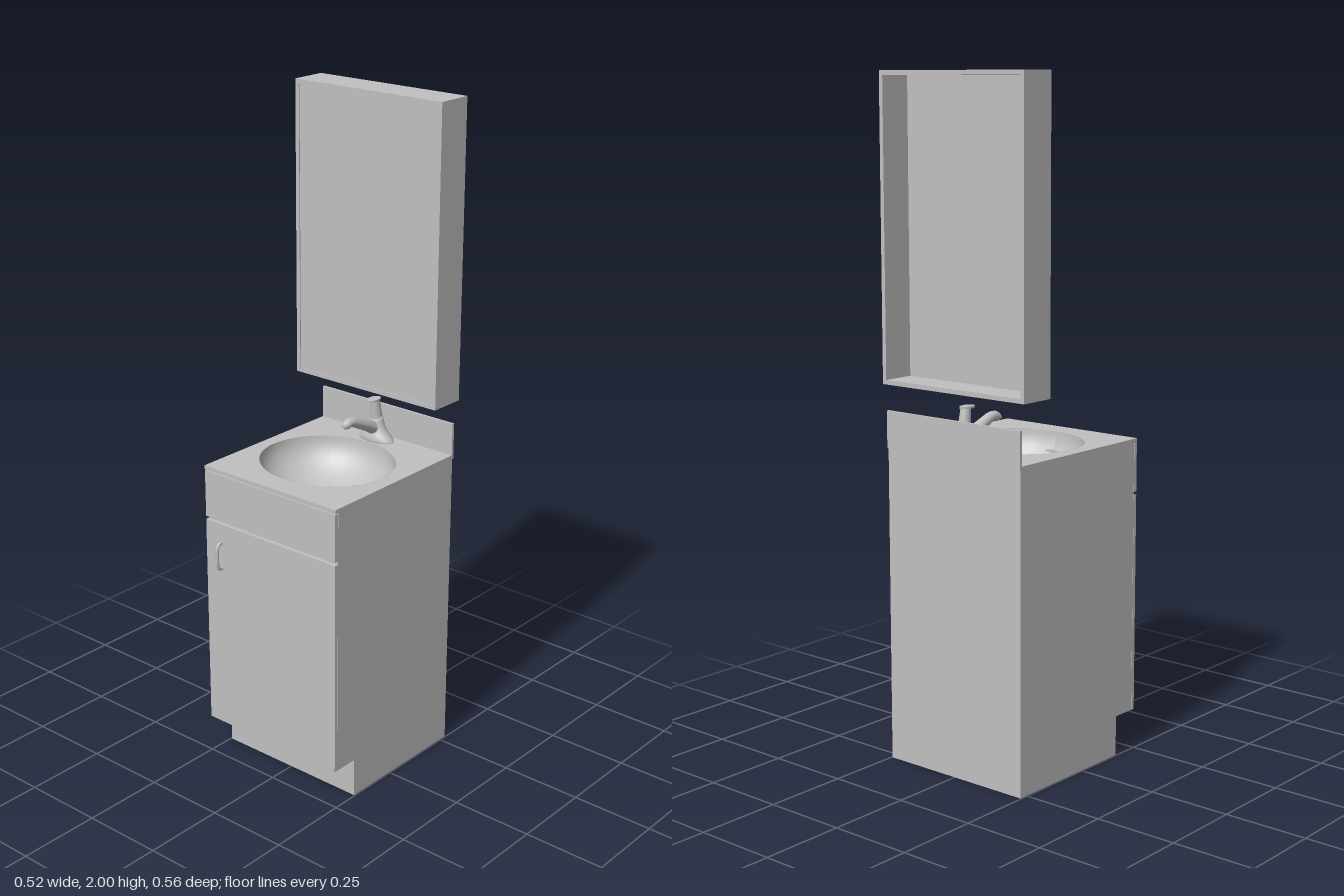
import * as THREE from 'three';

const grey = new THREE.MeshStandardMaterial({ color: 0xc0c0c0, side: THREE.DoubleSide });
grey.name = 'plain grey';

export function createModel() {
  const model = new THREE.Group();
  model.name = 'washstandWithCabinet';

  const add = (name, geometry, parent = model) => {
    const mesh = new THREE.Mesh(geometry, grey);
    mesh.name = name;
    parent.add(mesh);
    return mesh;
  };
  // Box given by its low and high limits on each axis
  const box = (name, [x0, x1], [y0, y1], [z0, z1], parent) => {
    const g = new THREE.BoxGeometry(x1 - x0, y1 - y0, z1 - z0);
    g.translate((x0 + x1) / 2, (y0 + y1) / 2, (z0 + z1) / 2);
    return add(name, g, parent);
  };
  const group = (name) => {
    const g = new THREE.Group();
    g.name = name;
    model.add(g);
    return g;
  };

  // Base cabinet: two side panels with a toe-kick notch, back, floor and fronts
  const cabinet = group('baseCabinet');
  const W = 0.247, T = 0.012, BACK = -0.276, FRONT = 0.253, TOP = 0.935;
  const side = new THREE.Shape([
    [BACK, 0], [0.165, 0], [0.165, 0.12], [0.24, 0.12], [0.24, TOP], [BACK, TOP],
  ].map(([z, y]) => new THREE.Vector2(z, y)));
  for (const [name, x] of [['rightSide', -W + T], ['leftSide', W]]) {
    const g = new THREE.ExtrudeGeometry(side, { depth: T, bevelEnabled: false });
    g.rotateY(-Math.PI / 2);
    g.translate(x, 0, 0);
    add(name, g, cabinet);
  }
  const inner = [-W + T, W - T];
  box('backPanel', inner, [0, TOP], [BACK, BACK + T], cabinet);
  box('bottomPanel', inner, [0, T], [BACK + T, 0.165 - T], cabinet);
  box('toeKick', inner, [0, 0.12], [0.165 - T, 0.165], cabinet);
  box('cabinetFloor', inner, [0.12, 0.132], [BACK + T, 0.228], cabinet);
  box('faceFrame', inner, [0.12, TOP], [0.228, 0.24], cabinet);
  box('door', [-W, W], [0.12, 0.778], [0.241, FRONT], cabinet);
  box('drawerFront', [-W, W], [0.788, 0.932], [0.241, FRONT], cabinet);

  // Bow-shaped door pull
  const pull = new THREE.CatmullRomCurve3([
    [0.638, 0.25], [0.639, 0.264], [0.65, 0.271], [0.68, 0.273],
    [0.707, 0.271], [0.718, 0.264], [0.719, 0.25],
  ].map(([y, z]) => new THREE.Vector3(-0.186, y, z)));
  add('doorPull', new THREE.TubeGeometry(pull, 24, 0.005, 10), cabinet);

  // Countertop with an oval basin opening
  const sink = group('sinkTop');
  const RX = 0.206, RZ = 0.188, CX = -0.003, CZ = -0.006, DEEP = 0.135, Y = 0.947;
  const slab = new THREE.Shape([
    [-0.248, -FRONT], [0.248, -FRONT], [0.248, 0.28], [-0.248, 0.28],
  ].map(([x, y]) => new THREE.Vector2(x, y)));
  slab.holes.push(new THREE.Path().absellipse(CX, -CZ, RX, RZ, 0, Math.PI * 2, true));
  const counter = new THREE.ExtrudeGeometry(slab, { depth: Y - TOP, bevelEnabled: false, curveSegments: 32 });
  counter.rotateX(-Math.PI / 2);
  counter.translate(0, TOP, 0);
  add('countertop', counter, sink);
  box('backsplash', [-0.248, 0.248], [Y, 1.045], [-0.28, -0.272], sink);

  // Basin: a half ellipsoid seen from inside
  const bowlProfile = [];
  for (let i = 0; i <= 14; i++) {
    const a = (i / 14) * Math.PI / 2;
    bowlProfile.push(new THREE.Vector2(Math.sin(a), -DEEP * Math.cos(a)));
  }
  const bowl = new THREE.LatheGeometry(bowlProfile, 32);
  bowl.scale(RX, 1, RZ);
  bowl.translate(CX, Y, CZ);
  bowl.computeVertexNormals();
  add('basin', bowl, sink);

  // Overflow plate on the front wall of the basin
  const overflow = new THREE.CylinderGeometry(1, 1, 0.004, 24);
  overflow.scale(0.028, 1, 0.01);
  overflow.rotateX(-Math.PI / 2);
  overflow.translate(CX, Y - 0.062, 0.163);
  add('overflowPlate', overflow, sink);

  // Faucet: flared foot, tapering spout, column and flat lever
  const faucet = group('faucet');
  faucet.position.set(-0.004, 0, 0);
  const foot = new THREE.LatheGeometry([
    [0.061, 0], [0.06, 0.007], [0.045, 0.02], [0.03, 0.038], [0.022, 0.06], [0.019, 0.075], [0, 0.076],
  ].map(([r, y]) => new THREE.Vector2(r, y)), 24);
  const footPos = foot.attributes.position;
  for (let i = 0; i < footPos.count; i++) {
    const y = footPos.getY(i);
    const squash = THREE.MathUtils.lerp(0.52, 1, Math.min(1, y / 0.06));
    footPos.setZ(i, footPos.getZ(i) * squash);
  }
  foot.translate(0, Y, -0.232);
  foot.computeVertexNormals();
  add('faucetFoot', foot, faucet);

  const spoutPath = new THREE.CatmullRomCurve3([
    [0.975, -0.235], [0.997, -0.2], [1.018, -0.155], [1.034, -0.115], [1.033, -0.095], [1.02, -0.084],
  ].map(([y, z]) => new THREE.Vector3(0, y, z)));
  const STEPS = 24, SIDES = 16;
  const spout = new THREE.TubeGeometry(spoutPath, STEPS, 1, SIDES);
  const sp = spout.attributes.position;
  for (let i = 0; i <= STEPS; i++) {
    const t = i / STEPS, c = spoutPath.getPointAt(t);
    const r = i === STEPS ? 0.0005 : 0.021 - 0.008 * t;
    for (let j = 0; j <= SIDES; j++) {
      const k = i * (SIDES + 1) + j;
      const v = new THREE.Vector3().fromBufferAttribute(sp, k).sub(c).multiplyScalar(r).add(c);
      sp.setXYZ(k, v.x, v.y, v.z);
    }
  }
  spout.computeVertexNormals();
  add('spout', spout, faucet);

  const column = new THREE.CylinderGeometry(0.015, 0.02, 0.072, 20);
  column.rotateX(0.12);
  column.translate(0, 1.038, -0.228);
  add('leverColumn', column, faucet);
  const lever = new THREE.CylinderGeometry(1, 1, 0.006, 20);
  lever.scale(0.016, 1, 0.027);
  lever.translate(0, 1.076, -0.218);
  add('lever', lever, faucet);

  // Wall cabinet: four frame boards, open at the back, with a slightly recessed front
  const wall = group('mirrorCabinet');
  const MW = 0.262, M0 = 1.12, M1 = 2, F = 0.013, MZ = [-0.28, -0.168];
  box('frameRight', [-MW, -MW + F], [M0, M1], MZ, wall);
  box('frameLeft', [MW - F, MW], [M0, M1], MZ, wall);
  box('frameBottom', [-MW + F, MW - F], [M0, M0 + F], MZ, wall);
  box('frameTop', [-MW + F, MW - F], [M1 - F, M1], MZ, wall);
  box('mirrorPanel', [-MW + F, MW - F], [M0 + F, M1 - F], [-0.18, -0.171], wall);

  return model;
}
